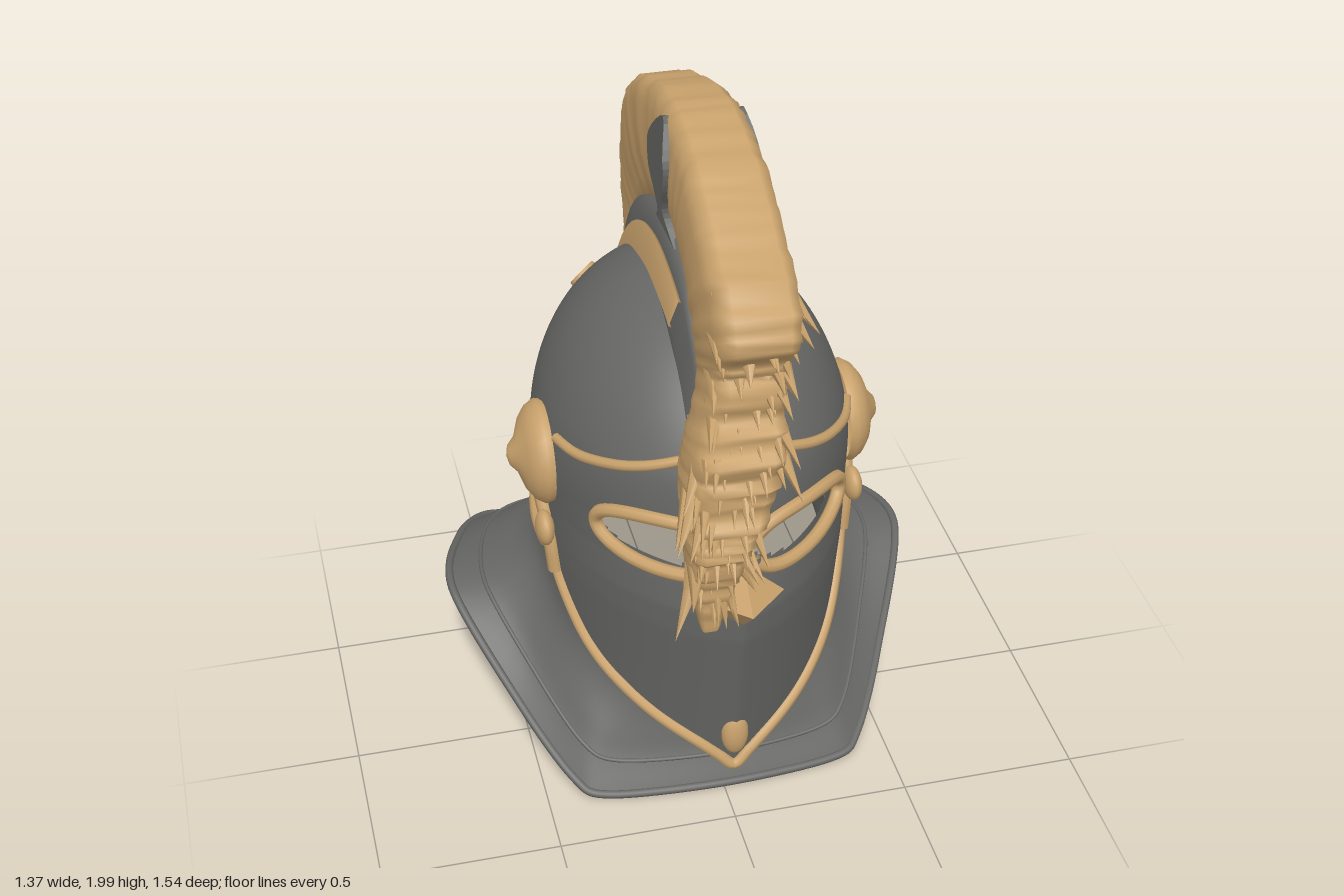
import * as THREE from 'three';

const V = (x, y, z) => new THREE.Vector3(x, y, z);
const D = Math.PI / 180;
const iron = new THREE.MeshStandardMaterial({ color: 0x666764, side: THREE.DoubleSide });
iron.name = 'dark iron';
const gold = new THREE.MeshStandardMaterial({ color: 0xc9a26c, side: THREE.DoubleSide });
gold.name = 'tan gold';

// Piecewise linear lookup in a list of [key, value]
function lookup(table, k) {
  if (k <= table[0][0]) return table[0][1];
  for (let i = 1; i < table.length; i++) {
    const [a, va] = table[i - 1], [b, vb] = table[i];
    if (k <= b) return va + (vb - va) * (k - a) / (b - a);
  }
  return table[table.length - 1][1];
}

// Surface from rows of closed rings
function loft(rows, cols, at, keep = () => true) {
  const pos = [], idx = [];
  for (let i = 0; i <= rows; i++) for (let j = 0; j < cols; j++) pos.push(...at(i, j).toArray());
  const p = (k) => V(pos[k * 3], pos[k * 3 + 1], pos[k * 3 + 2]);
  for (let i = 0; i < rows; i++) for (let j = 0; j < cols; j++) {
    const a = i * cols + j, b = i * cols + (j + 1) % cols, c = a + cols, d = b + cols;
    if (keep(p(a).add(p(d)).multiplyScalar(0.5))) idx.push(a, c, b, b, c, d);
  }
  const g = new THREE.BufferGeometry();
  g.setAttribute('position', new THREE.Float32BufferAttribute(pos, 3));
  g.setIndex(idx);
  g.computeVertexNormals();
  return g;
}

// Helmet surface: angle from the front (left positive) and height
const WIDTH = [[0.17, 0.39], [0.5, 0.41], [0.7, 0.425], [0.95, 0.435]];
const FRONT = [[0.17, 0.47], [0.5, 0.525], [0.68, 0.555], [0.76, 0.56], [0.84, 0.545], [0.95, 0.51]];
const BACK = [[0.6, 0.665], [0.7, 0.63], [0.8, 0.61], [0.95, 0.61]];
const EDGE = [[0, 0.18], [14, 0.26], [33, 0.34], [52, 0.43], [62, 0.5], [71, 0.6], [78, 0.7], [84, 0.68], [180, 0.63]];
const domeScale = (y) => y > 0.95 ? Math.sqrt(Math.max(0, 1 - ((y - 0.95) / 0.55) ** 2)) : 1;
function surf(a, y, out = 0) {
  const f = domeScale(y), c = Math.cos(a), s = Math.sin(a);
  const w = lookup(WIDTH, y) * f + out + (c < 0 ? Math.max(0, 0.75 - y) * 0.15 * -c : 0);
  const len = (c > 0 ? lookup(FRONT, y) + 0.06 : lookup(BACK, y) - 0.06) * f + out;
  const ridge = c > 0 ? 0.22 * Math.min(1, Math.max(0, (1.15 - y) / 0.3)) : 0;
  return V(w * s, y, -0.06 + len * (c * (1 - ridge) + ridge * (1 - Math.abs(s))));
}
const surfX = (x, y, out) => surf(Math.asin(x / (lookup(WIDTH, y) * domeScale(y))), y, out);

const inEye = (p) => p.z > 0.1 &&
  Math.abs((Math.abs(p.x) - 0.18) / 0.145) ** 2.3 + Math.abs((p.y - 0.95) / 0.075) ** 2.3 < 1;

export function createModel() {
  const model = new THREE.Group();
  const add = (name, geo, mat) => {
    const m = new THREE.Mesh(geo, mat);
    m.name = name;
    model.add(m);
    return m;
  };
  const tube = (name, pts, r, mat = gold, closed = false) =>
    add(name, new THREE.TubeGeometry(new THREE.CatmullRomCurve3(pts, closed), pts.length * 5, r, 8, closed), mat);
  const ball = (name, x, y, z, sx, sy, sz) => {
    const m = add(name, new THREE.SphereGeometry(1, 20, 14), gold);
    m.position.set(x, y, z);
    m.scale.set(sx, sy, sz);
  };

  // Skull, face mask and nape in one shell with eye openings, and its lining
  for (const [name, out] of [['helmetShell', 0], ['helmetLining', -0.03]]) {
    add(name, loft(110, 180, (i, j) => {
      const deg = j * 2 > 180 ? j * 2 - 360 : j * 2;
      const y = i <= 50 ? 0.95 + 0.55 * Math.cos(i / 50 * Math.PI / 2)
        : 0.95 + (lookup(EDGE, Math.abs(deg)) - 0.95) * (i - 50) / 60;
      const p = surf(deg * D, y, i < 4 ? 0 : out);
      if (y > 0.95) p.y += out * (y - 0.95) / 0.55;
      return p;
    }, (p) => !inEye(p)), iron);
  }

  // Edge trim all round
  const edge = [];
  for (let d = -180; d < 180; d += 6) edge.push(surf(d * D, lookup(EDGE, Math.abs(d)), 0.004));
  tube('edgeTrim', edge, 0.017, gold, true);

  const browLine = [[8, 1.28], [16, 1.21], [35, 1.165], [60, 1.11], [72, 1.1]];
  const napeLine = [[100, 0.96], [140, 0.92], [180, 0.88]];
  for (const s of [-1, 1]) {
    const along = (table, a, b) => Array.from({ length: 14 }, (_, i) => {
      const d = a + (b - a) * i / 13;
      return surf(s * d * D, lookup(table, d), 0.004);
    });
    tube('browTrim', along(browLine, 8, 72), 0.014);
    tube('napeTrim', along(napeLine, 98, 180), 0.012);

    // Eye rim, open towards the nose
    const rim = [];
    for (let i = 0; i <= 30; i++) {
      const a = (i / 15 - 1) * 0.87 * Math.PI, c = Math.cos(a), n = Math.sin(a);
      rim.push(surfX(s * (0.18 + 0.15 * Math.sign(c) * Math.abs(c) ** 0.87),
        0.95 + 0.08 * Math.sign(n) * Math.abs(n) ** 0.87, 0.006));
    }
    tube('eyeRim', rim, 0.019);

    // Pivot boss with a strap down to the mask edge
    const boss = new THREE.LatheGeometry([[0.14, -0.005], [0.145, 0.015], [0.13, 0.04], [0.1, 0.062], [0.05, 0.08],
      [0.028, 0.1], [0, 0.107]].map(([r, h]) => new THREE.Vector2(r, h)), 24);
    boss.rotateZ(-s * Math.PI / 2).translate(s * 0.415, 0.99, 0);
    add('pivotBoss', boss, gold);
    tube('strap', [[74, 0.64], [75, 0.72], [77, 0.79], [82, 0.88]].map(([d, y]) => surf(s * d * D, y, 0.008)), 0.022);
    ball('strapEnd', s * 0.438, 0.79, 0.08, 0.026, 0.05, 0.05);

    // Round studs on skull and nape
    for (const [d, y, r] of [[138, 1.3, s < 0 ? 0.047 : 0.034], [158, 0.94, 0.038], [156, 0.85, 0.03]]) {
      const stud = add('stud', new THREE.CylinderGeometry(r * 0.9, r, 0.016, 16), gold);
      const p = surf(s * d * D, y);
      const n = surf(s * d * D + 0.02, y).sub(p).cross(surf(s * d * D, y + 0.01).sub(p)).normalize();
      if (n.x * s < 0) n.negate();
      stud.position.copy(p);
      stud.quaternion.setFromUnitVectors(V(0, 1, 0), n);
    }
  }

  // Nose and chin ornaments
  const diamond = add('noseDiamond', new THREE.OctahedronGeometry(1), gold);
  diamond.position.set(0, 0.835, 0.55);
  diamond.scale.set(0.11, 0.1, 0.1);
  ball('browBoss', 0, 1.035, 0.49, 0.085, 0.048, 0.045);
  ball('chinBoss', 0, 0.3, 0.48, 0.038, 0.072, 0.03);

  // Neck and flared collar: half rings of [x, y, z], front to back
  const rings = [
    [[0, .4, .44], [.17, .42, .34], [.3, .5, .2], [.375, .66, .06], [.39, .7, -.15], [.35, .7, -.33], [.26, .7, -.45], [.14, .7, -.52], [0, .7, -.54]],
    [[0, .29, .29], [.2, .3, .25], [.32, .36, .15], [.39, .44, .02], [.42, .5, -.2], [.39, .5, -.38], [.3, .5, -.49], [.16, .5, -.555], [0, .5, -.57]],
    [[0, .13, .31], [.27, .14, .28], [.37, .19, .22], [.46, .31, .03], [.53, .42, -.2], [.5, .42, -.43], [.41, .4, -.57], [.24, .4, -.635], [0, .4, -.645]],
    [[0, .012, .37], [.33, .015, .345], [.42, .05, .29], [.535, .19, .1], [.67, .4, -.2], [.61, .37, -.48], [.5, .29, -.68], [.3, .22, -.74], [0, .21, -.75]],
  ].map((h) => {
    const left = h.map((p) => V(...p));
    const right = h.slice(1, -1).reverse().map(([x, y, z]) => V(-x, y, z));
    return new THREE.CatmullRomCurve3([...left, ...right], true, 'catmullrom', 0.45);
  });
  const ringPts = rings.map((c) => Array.from({ length: 96 }, (_, j) => c.getPoint(j / 96)));
  const ribs = ringPts[0].map((_, j) => new THREE.CatmullRomCurve3(ringPts.map((r) => r[j])));
  add('collar', loft(24, 96, (i, j) => ribs[j].getPoint(i / 24)), iron);
  tube('collarRim', ringPts[3], 0.012, iron, true);
  tube('collarRidge', ribs.map((r) => r.getPoint(0.78)), 0.006, iron, true);
  tube('collarInlay', ribs.slice(43, 54).map((r) => r.getPoint(0.83)), 0.006);

  // Crest holder: arcs of [z, y] at four levels, sloping outward to the skull
  const arc = (pts) => new THREE.SplineCurve(pts.map(([z, y]) => new THREE.Vector2(z, y)));
  const levels = [
    [[.4, 1.36], [.33, 1.5], [.2, 1.61], [0, 1.66], [-.16, 1.63], [-.32, 1.56], [-.47, 1.43], [-.59, 1.24], [-.63, 1.05], [-.64, .92]],
    [[.38, 1.33], [.3, 1.45], [.2, 1.53], [0, 1.57], [-.15, 1.555], [-.28, 1.505], [-.42, 1.405], [-.54, 1.27], [-.615, 1.06], [-.63, .92]],
    [[.37, 1.3], [.27, 1.39], [.2, 1.46], [0, 1.487], [-.13, 1.475], [-.25, 1.437], [-.38, 1.365], [-.5, 1.25], [-.595, 1.04], [-.61, .92]],
    [[.41, 1.2], [.3, 1.22], [.18, 1.32], [0, 1.4], [-.12, 1.38], [-.22, 1.33], [-.33, 1.25], [-.42, 1.15], [-.5, 1.0], [-.52, .92]],
  ].map(arc);
  const spread = [0.07, 0.082, 0.108, 0.115];
  const onHolder = (t, k, s, out = 0) => {
    const p = levels[k].getPoint(t);
    return V(s * (spread[k] + out), p.y + out * 0.5, p.x);
  };
  add('crestHolder', loft(60, 8, (i, j) => onHolder(i / 60, j < 4 ? j : 7 - j, j < 4 ? 1 : -1)), iron);
  // Curved stripe on each side of the holder
  for (const s of [-1, 1]) {
    add('crestStripe', loft(50, 4, (i, j) =>
      onHolder((2 + 6.2 * i / 50) / 9, j === 0 || j === 3 ? 1 : 2, s, j < 2 ? 0.007 : -0.002)), gold);
  }

  // Plume stations: inner z, y, outer z, y, centre x, half width
  const st = [
    [-.64, .92, -.71, .92, .03, .05], [-.61, 1.08, -.755, 1.12, .03, .06], [-.58, 1.23, -.78, 1.38, .03, .07],
    [-.46, 1.42, -.72, 1.58, .025, .08], [-.32, 1.54, -.56, 1.78, .02, .09], [-.16, 1.62, -.32, 1.91, .02, .1],
    [0, 1.64, -.02, 1.985, .025, .11], [.14, 1.62, .2, 1.955, .025, .115], [.25, 1.57, .43, 1.86, .02, .12],
    [.31, 1.49, .67, 1.7, .01, .115], [.34, 1.4, .62, 1.54, 0, .1], [.4, 1.28, .68, 1.39, -.03, .12],
    [.43, 1.19, .7, 1.2, -.06, .11], [.49, 1.07, .7, 1.08, -.09, .08], [.53, .97, .67, .97, -.1, .06],
    [.57, .83, .64, .81, -.11, .025]];
  const inner = new THREE.CatmullRomCurve3(st.map((s) => V(s[4], s[1], s[0])));
  const outer = new THREE.CatmullRomCurve3(st.map((s) => V(s[4], s[3], s[2])));
  const halfW = new THREE.CatmullRomCurve3(st.map((s, i) => V(s[5], i, 0)));
  let seed = 7;
  const rnd = () => (seed = (seed * 16807) % 2147483647) / 2147483647;
  const depth = [0, 0.2, 0.4, 0.6, 0.8, 0.94, 1], bulge = [0.75, 0.9, 1, 1, 0.95, 0.85, 0.6];
  const N = 150;
  const jag = Array.from({ length: N + 1 }, (_, i) => [1 + (rnd() - 0.5) * (i > N * 0.56 ? 0.14 : 0.03), 1 + (rnd() - 0.5) * 0.06]);
  add('plume', loft(N, 14, (i, j) => {
    const t = i / N, k = j < 7 ? j : 13 - j, side = j < 7 ? 1 : -1;
    const p = inner.getPoint(t).lerp(outer.getPoint(t), depth[k] * (k > 3 ? jag[i][0] : 1));
    p.x += side * halfW.getPoint(t).x * bulge[k] * jag[i][1];
    return p;
  }), gold);

  // Ragged locks of hair: each cone runs from inside the plume to a tip past its outer edge
  const lock = (base, tip, r) => {
    const dir = tip.clone().sub(base), len = dir.length();
    const m = add('plumeLock', new THREE.ConeGeometry(r, len, 6).translate(0, len / 2, 0), gold);
    m.position.copy(base);
    m.quaternion.setFromUnitVectors(V(0, 1, 0), dir.normalize());
  };
  for (let i = 0; i < 110; i++) {
    const t = 0.5 + 0.44 * i / 110, side = rnd() * 2 - 1;
    const base = inner.getPoint(t).lerp(outer.getPoint(t), 0.45 + rnd() * 0.3);
    const tip = outer.getPoint(Math.min(1, t + 0.05));
    base.x += side * halfW.getPoint(t).x * 0.75;
    tip.add(V(side * (halfW.getPoint(t).x + 0.05 * rnd()), -0.03 * rnd(), (t > 0.56 ? 0.07 : 0.02) * rnd() - 0.01));
    lock(base, tip, 0.05 - t * 0.025);
  }
  // Locks hanging over the nape
  for (let i = 0; i < 6; i++) {
    const x = 0.03 + (rnd() - 0.5) * 0.07, z = -0.66 - rnd() * 0.06;
    lock(V(x, 1.03, z), V(x, 0.89 + rnd() * 0.04, z - 0.01), 0.03);
  }

  // Leaf ornament clasping the plume, shaped to its sides
  const leafShape = arc([[0.1, 1.63], [0.06, 1.67], [0.045, 1.72], [0.09, 1.81], [0.09, 1.88], [0.01, 1.965],
    [-0.07, 1.89], [-0.08, 1.81], [-0.03, 1.72], [-0.05, 1.67], [-0.11, 1.62]]).getPoints(40);
  const leaf = new THREE.ExtrudeGeometry(new THREE.Shape(leafShape), { depth: 0.2, bevelEnabled: false });
  leaf.translate(0, 0, -0.1).rotateY(-Math.PI / 2);
  const lp = leaf.attributes.position;
  const leafHalf = [[1.63, 0.1], [1.71, 0.118], [1.78, 0.127], [1.88, 0.127], [1.92, 0.12], [1.97, 0.104]];
  for (let i = 0; i < lp.count; i++) lp.setX(i, 0.024 + Math.sign(lp.getX(i)) * lookup(leafHalf, lp.getY(i)));
  add('crestLeaf', leaf, iron);

  return model;
}
